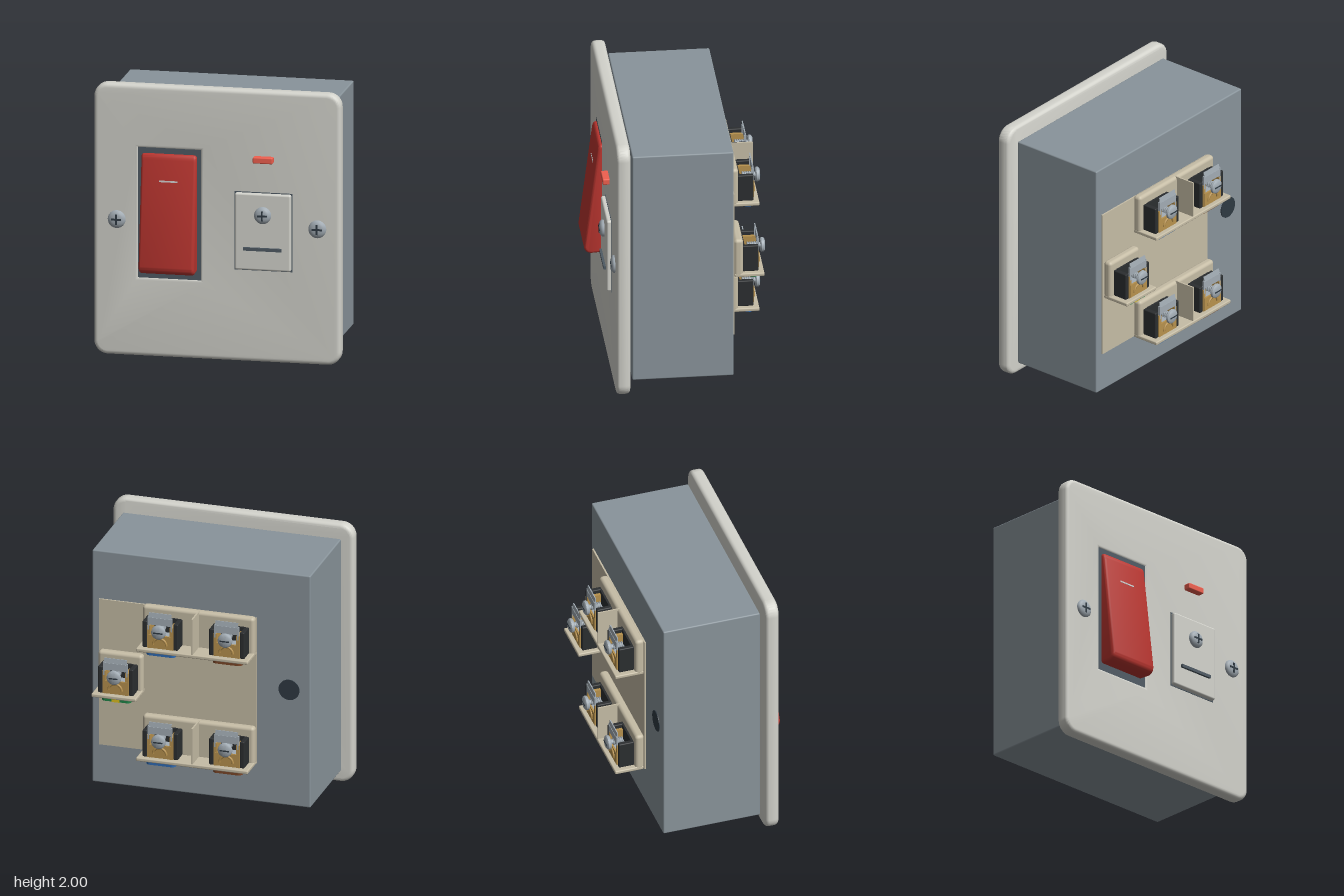
import * as THREE from 'three';
import { toCreasedNormals } from 'three/addons/utils/BufferGeometryUtils.js';
import { RoundedBoxGeometry } from 'three/addons/geometries/RoundedBoxGeometry.js';

const mat = (color) => new THREE.MeshStandardMaterial({ color });
const M = {
  plate: mat(0xd3d3cc), box: mat(0x89949b), dark: mat(0x4f5b64), red: mat(0xbd3630), neon: mat(0xf0604f),
  steel: mat(0xa3adb5), slot: mat(0x2f3a43), beige: mat(0xc6bda6), black: mat(0x2b2e30), brass: mat(0xb8924e),
  white: mat(0xeeeeee), blue: mat(0x2f6cb5), brown: mat(0x7c4728), green: mat(0x1f8548), yellow: mat(0xe0c020),
};

function add(parent, name, geometry, material, x = 0, y = 0, z = 0) {
  const mesh = new THREE.Mesh(geometry, material);
  mesh.name = name;
  mesh.position.set(x, y, z);
  parent.add(mesh);
  return mesh;
}

// Box given by its extents; r > 0 rounds the edges
function box(parent, name, material, x0, x1, y0, y1, z0, z1, r = 0) {
  const s = [x1 - x0, y1 - y0, z1 - z0];
  const g = r ? new RoundedBoxGeometry(...s, 3, r) : new THREE.BoxGeometry(...s);
  return add(parent, name, g, material, (x0 + x1) / 2, (y0 + y1) / 2, (z0 + z1) / 2);
}

function roundedRect(w, h, r) {
  const s = new THREE.Shape(), x = w / 2, y = h / 2;
  s.absarc(x - r, y - r, r, 0, Math.PI / 2);
  s.absarc(-x + r, y - r, r, Math.PI / 2, Math.PI);
  s.absarc(-x + r, -y + r, r, Math.PI, Math.PI * 1.5);
  s.absarc(x - r, -y + r, r, Math.PI * 1.5, Math.PI * 2);
  s.closePath();
  return s;
}

// Extrusion whose bevel stays inside the drawn outline
function slab(shape, depth, bevel) {
  const g = new THREE.ExtrudeGeometry(shape, {
    depth: depth - 2 * bevel, bevelEnabled: true, bevelThickness: bevel,
    bevelSize: bevel, bevelOffset: -bevel, bevelSegments: 5, curveSegments: 10,
  });
  g.translate(0, 0, bevel);
  return toCreasedNormals(g, 0.6);
}

// Domed cross-head screw facing +z, seated on z
function crossScrew(parent, name, x, y, z, r, h) {
  const screw = new THREE.Group();
  screw.name = name;
  screw.position.set(x, y, z);
  const pts = [[0.001, h], [r * 0.5, h * 0.95], [r * 0.8, h * 0.75], [r, h * 0.35], [r, -0.01]];
  const head = new THREE.LatheGeometry(pts.map((p) => new THREE.Vector2(...p)).reverse(), 32);
  add(screw, 'screwHead', head.rotateX(Math.PI / 2), M.steel);
  const a = r * 0.58, b = r * 0.11;
  box(screw, 'crossSlot', M.slot, -a, a, -b, b, 0, h + 0.001);
  box(screw, 'crossSlot', M.slot, -b, b, -a, a, 0, h + 0.001);
  parent.add(screw);
}

// Screw clamp standing on a shelf whose underside is at y
function terminal(parent, name, x, y, inlet) {
  const t = new THREE.Group();
  t.name = name;
  t.position.set(x, y, 0);
  for (const s of [-1, 1]) {
    const span = (a, b) => (s > 0 ? [a, b] : [-b, -a]);
    box(t, 'cheek', M.black, ...span(0.098, 0.133), 0.025, 0.23, -0.55, -0.435, 0.008);
    box(t, 'brassSide', M.brass, ...span(0.074, 0.098), 0.025, 0.2, -0.555, -0.44);
    box(t, 'tabArm', M.steel, ...span(0.08, 0.092), 0.17, 0.27, -0.556, -0.54);
  }
  box(t, 'clampBack', M.black, -0.1, 0.1, 0.025, 0.23, -0.452, -0.435);
  box(t, 'clampBlock', M.steel, -0.074, 0.074, 0.03, 0.12, -0.545, -0.45);
  box(t, 'brassFront', M.brass, -0.085, 0.085, 0.03, 0.13, -0.558, -0.545);
  const arch = new THREE.TorusGeometry(0.05, 0.009, 8, 20, Math.PI);
  add(t, 'brassArch', arch, M.brass, 0, 0.06, -0.56);
  box(t, 'clampTab', M.steel, -0.09, 0.09, 0.21, 0.265, -0.557, -0.547);
  const tab = box(t, 'markerTab', M.steel, -0.085, 0.085, 0.255, 0.3, -0.552, -0.544);
  tab.rotation.x = 0.15;
  // Threaded screw pointing out of the back
  const cyl = (r, h) => new THREE.CylinderGeometry(r, r, h, 24).rotateX(Math.PI / 2);
  add(t, 'screwShank', cyl(0.018, 0.11), M.steel, 0, 0.17, -0.535);
  for (let i = 0; i < 5; i++)
    add(t, 'screwThread', new THREE.TorusGeometry(0.02, 0.006, 6, 18), M.steel, 0, 0.17, -0.485 - i * 0.016);
  const profile = [[0.001, 0.035], [0.04, 0.033], [0.052, 0.024], [0.054, 0.008], [0.046, 0], [0.001, 0]];
  const head = new THREE.LatheGeometry(profile.map((p) => new THREE.Vector2(...p)).reverse(), 28);
  add(t, 'screwHead', toCreasedNormals(head.rotateX(-Math.PI / 2), 0.6), M.steel, 0, 0.17, -0.575);
  box(t, 'screwSlot', M.slot, -0.035, 0.035, 0.165, 0.175, -0.611, -0.6);
  // Coloured cable inlet under the shelf
  const ring = roundedRect(0.22, 0.064, 0.03);
  ring.holes.push(roundedRect(0.17, 0.034, 0.016));
  const collar = new THREE.ExtrudeGeometry(ring, { depth: 0.036, bevelEnabled: false });
  add(t, 'inletCollar', collar.rotateX(Math.PI / 2), inlet, 0, 0.002, -0.515);
  box(t, 'inletFloor', inlet, -0.09, 0.09, -0.012, 0.002, -0.537, -0.493);
  if (inlet === M.green) box(t, 'inletStripe', M.yellow, -0.03, 0.03, -0.037, 0.002, -0.548, -0.482);
  parent.add(t);
}

// Moulded carrier: back panel and bottom shelf
function carrier(parent, x0, x1, y) {
  box(parent, 'carrierPanel', M.beige, x0, x1, y + 0.005, y + 0.3, -0.437, -0.37, 0.025);
  box(parent, 'carrierShelf', M.beige, x0, x1, y, y + 0.027, -0.59, -0.375, 0.008);
}

export function createModel() {
  const g = new THREE.Group();
  g.name = 'wallSwitch';

  // Faceplate with an opening for the rocker
  const face = roundedRect(1.81, 2, 0.1);
  const hole = new THREE.Path();
  hole.moveTo(-0.57, -0.41).lineTo(-0.57, 0.53).lineTo(-0.13, 0.53).lineTo(-0.13, -0.41).closePath();
  face.holes.push(hole);
  add(g, 'faceplate', slab(face, 0.1, 0.03), M.plate, 0, 1, 0.39);
  box(g, 'rockerSurround', M.dark, -0.605, -0.095, 0.555, 1.565, 0.4, 0.483);

  // Back box and its cable knockout
  box(g, 'backBox', M.box, -0.82, 0.82, 0.1, 1.9, -0.36, 0.37, 0.01);
  const knockout = new THREE.CylinderGeometry(0.078, 0.078, 0.012, 32).rotateX(Math.PI / 2);
  add(g, 'knockout', knockout, M.slot, -0.66, 1, -0.36);

  // Tilted rocker: side profile in (z, y) swept across x
  const side = new THREE.Shape();
  side.moveTo(0.45, 0.64).lineTo(0.56, 0.632).quadraticCurveTo(0.612, 0.635, 0.614, 0.69);
  side.lineTo(0.518, 1.45).quadraticCurveTo(0.512, 1.5, 0.49, 1.5).lineTo(0.45, 1.5).closePath();
  const rocker = slab(side, 0.405, 0.022).rotateY(-Math.PI / 2);
  add(g, 'rocker', rocker, M.red, -0.148, 0, 0);
  const line = box(g, 'rockerLine', M.white, -0.415, -0.28, 1.302, 1.314, 0.532, 0.538);
  line.rotation.x = -0.126;

  // Indicator lamp, fuse holder and fixing screws
  box(g, 'indicatorLamp', M.neon, 0.27, 0.415, 1.475, 1.52, 0.46, 0.54, 0.008);
  box(g, 'fuseHolderGap', M.dark, 0.129, 0.551, 0.676, 1.254, 0.47, 0.494);
  box(g, 'fuseHolder', M.plate, 0.135, 0.545, 0.683, 1.248, 0.46, 0.525, 0.014);
  box(g, 'fuseHolderSlot', M.dark, 0.2, 0.48, 0.83, 0.853, 0.51, 0.542);
  crossScrew(g, 'fuseScrew', 0.342, 1.093, 0.525, 0.062, 0.035);
  for (const s of [-1, 1]) crossScrew(g, 'fixingScrew', s * 0.735, 1.003, 0.488, 0.065, 0.03);

  // Rear terminal board
  box(g, 'terminalBoard', M.beige, -0.42, 0.765, 0.4, 1.53, -0.372, -0.35);
  for (const y of [0.4, 1.25]) {
    carrier(g, -0.42, 0.42, y);
    box(g, 'divider', M.beige, -0.006, 0.006, y, y + 0.3, -0.585, -0.4);
    terminal(g, 'liveTerminal', -0.25, y, M.brown);
    terminal(g, 'neutralTerminal', 0.25, y, M.blue);
  }
  carrier(g, 0.42, 0.755, 0.855);
  terminal(g, 'earthTerminal', 0.585, 0.855, M.green);
  return g;
}
